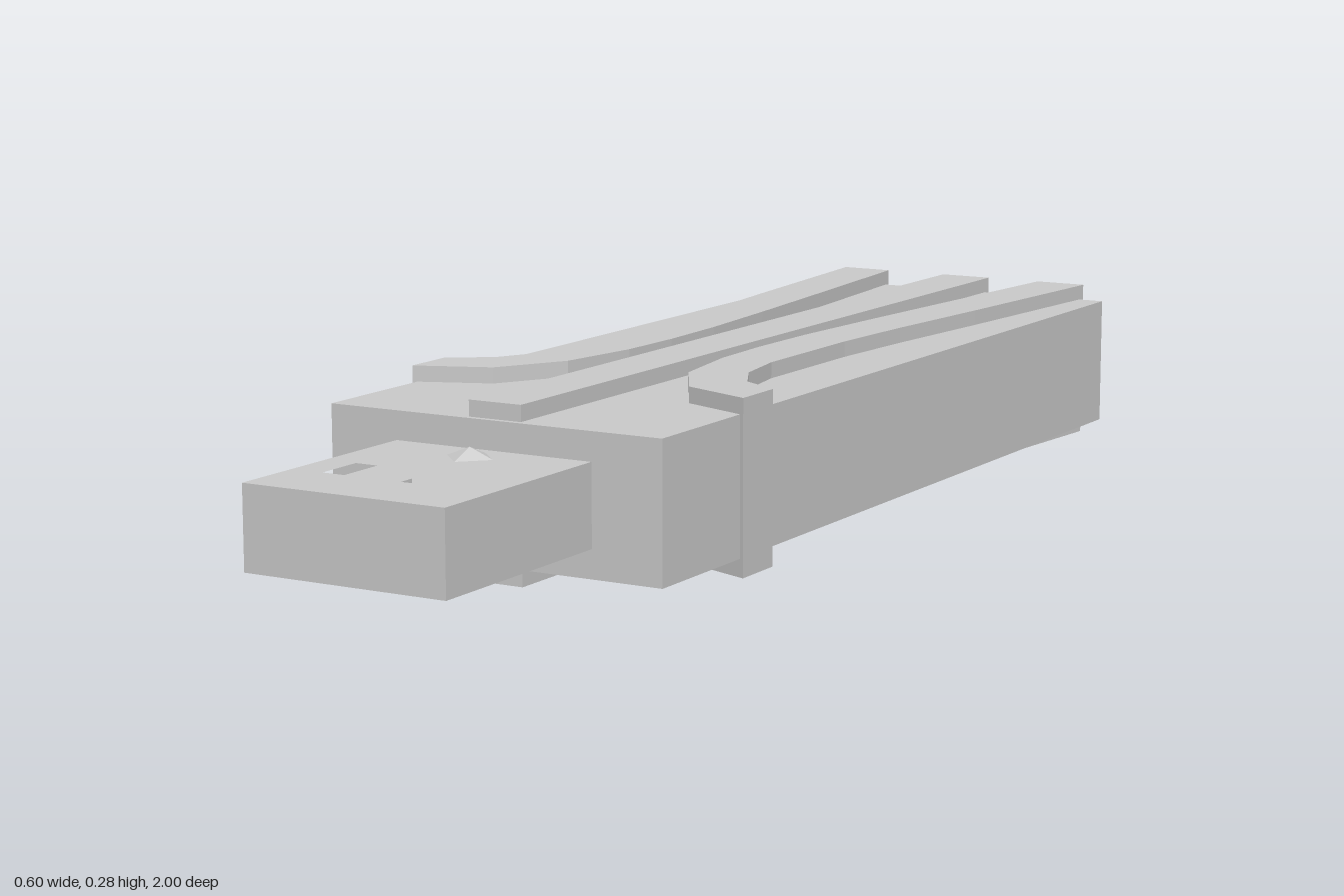
import * as THREE from 'three';

const grey = new THREE.MeshStandardMaterial({ color: 0xcccccc, flatShading: true });

function add(group, name, geometry) {
  const mesh = new THREE.Mesh(geometry, grey);
  mesh.name = name;
  group.add(mesh);
  return mesh;
}

// Box from its min and max corners
function block(x0, x1, y0, y1, z0, z1) {
  return new THREE.BoxGeometry(x1 - x0, y1 - y0, z1 - z0)
    .translate((x0 + x1) / 2, (y0 + y1) / 2, (z0 + z1) / 2);
}

// Plan outline of [x, z] points, with optional holes, raised from y0 to y1
function slab(outline, y0, y1, holes = []) {
  const toPlan = (pts) => pts.map(([x, z]) => new THREE.Vector2(x, -z));
  const shape = new THREE.Shape(toPlan(outline));
  for (const h of holes) shape.holes.push(new THREE.Path(toPlan(h)));
  return new THREE.ExtrudeGeometry(shape, { depth: y1 - y0, bevelEnabled: false })
    .rotateX(-Math.PI / 2).translate(0, y0, 0);
}

const rect = (x0, x1, z0, z1) => [[x0, z0], [x1, z0], [x1, z1], [x0, z1]];

export function createModel() {
  const model = new THREE.Group();
  model.name = 'usbStick';

  add(model, 'body', block(-0.295, 0.295, 0.029, 0.252, -0.985, 0.62));

  // Ribs stand proud of the body above, below and behind
  const top = 0.278;
  add(model, 'centreRib', slab([[-0.04, -1], [0.055, -1], [0.045, 0.61], [-0.048, 0.61]], 0, top));

  // Side rib: narrows to a waist, then flares out and wraps the body's side
  const sideRib = [
    [0.25, -1], [0.216, -0.6], [0.192, -0.35], [0.18, -0.17], [0.178, 0.08],
    [0.195, 0.185], [0.235, 0.26], [0.302, 0.3], [0.302, 0.393], [0.18, 0.345],
    [0.112, 0.23], [0.088, 0.08], [0.084, -0.05], [0.088, -0.2], [0.103, -0.4],
    [0.125, -0.65], [0.157, -1],
  ];
  for (const [name, s] of [['leftRib', 1], ['rightRib', -1]]) {
    add(model, name, slab(sideRib.map(([x, z]) => [s * x, z]), 0, top));
  }

  // Plug: solid core between two plates with square contact recesses
  const plug = new THREE.Group();
  plug.name = 'plug';
  model.add(plug);
  const outline = rect(-0.174, 0.174, 0.62, 1);
  const recesses = [rect(-0.12, -0.02, 0.8, 0.882), rect(0.018, 0.118, 0.8, 0.882)];
  add(plug, 'plugCore', slab(outline, 0.105, 0.175));
  add(plug, 'plugTopPlate', slab(outline, 0.175, 0.206, recesses));
  add(plug, 'plugBottomPlate', slab(outline, 0.075, 0.105, recesses));

  // Small pyramid marking the plug's upper side
  add(plug, 'orientationBump', new THREE.ConeGeometry(0.041, 0.016, 4, 1, true)
    .translate(0, 0.214, 0.68));

  return model;
}
